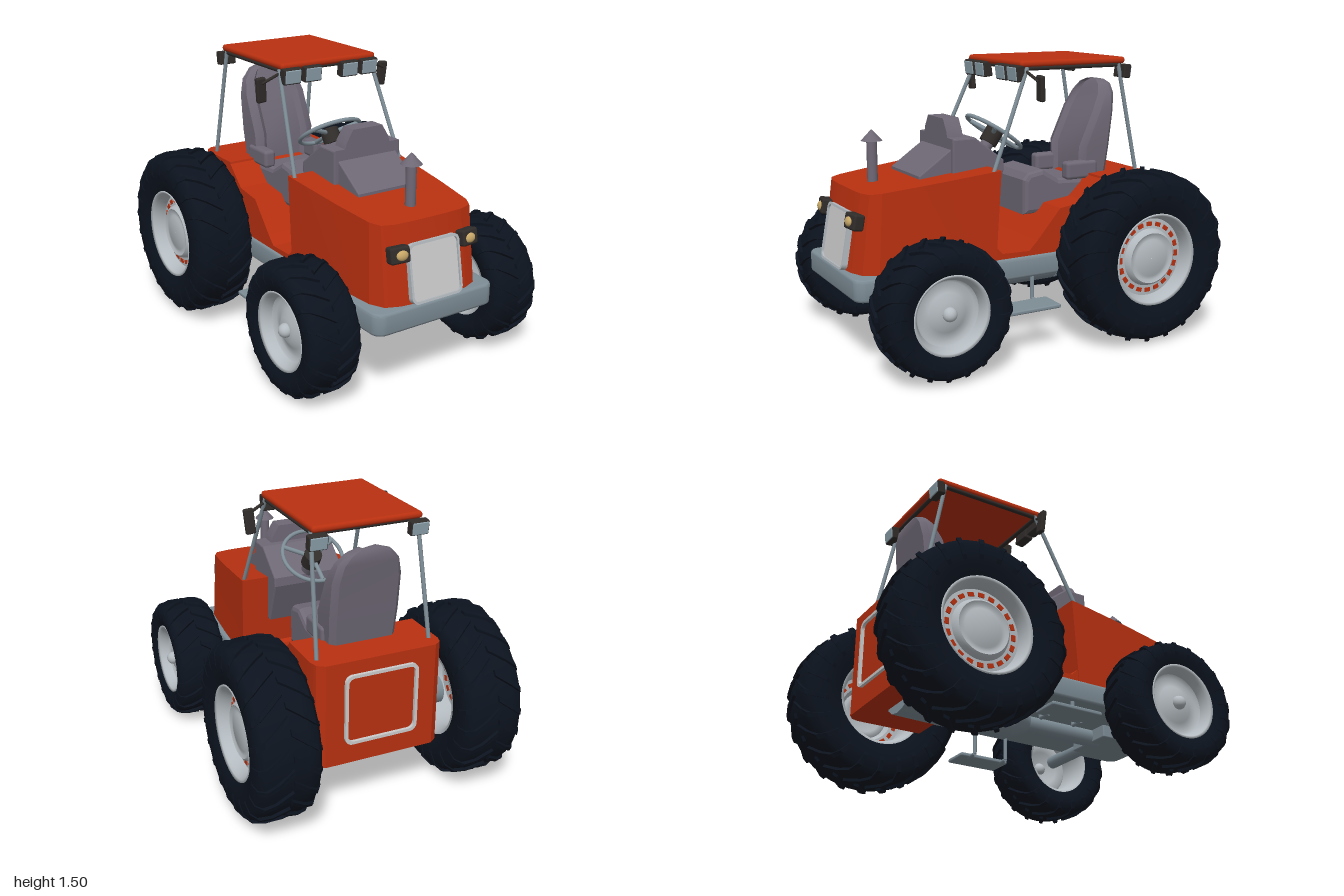
import * as THREE from 'three';
import { mergeGeometries, toCreasedNormals } from 'three/addons/utils/BufferGeometryUtils.js';
import { RoundedBoxGeometry } from 'three/addons/geometries/RoundedBoxGeometry.js';

const mat = (color, side = THREE.FrontSide) => new THREE.MeshStandardMaterial({ color, side });
const RED = mat(0xb83010), STEEL = mat(0x7d8c95), SEAT = mat(0x6e6875), DARK = mat(0x302c2a);
const TYRE = mat(0x0c131e, THREE.DoubleSide), RIM = mat(0xb4bbc0, THREE.DoubleSide);
const PALE = mat(0xbcbcbc), LENS = mat(0xc8a868), GLASS = mat(0x8fa3ad);

function add(parent, name, geo, material, x = 0, y = 0, z = 0) {
  const m = new THREE.Mesh(geo, material);
  m.name = name;
  m.position.set(x, y, z);
  parent.add(m);
  return m;
}
const box = (w, h, d, r = 0.008) => new RoundedBoxGeometry(w, h, d, 2, r);

// Closed skin over rings of [x, y, z] points, capped at both ends, wound outward
function loft(rings, crease = 0.5) {
  const n = rings[0].length, tris = [];
  for (let i = 0; i < rings.length - 1; i++)
    for (let j = 0; j < n; j++) {
      const k = (j + 1) % n, a = rings[i][j], b = rings[i][k], c = rings[i + 1][k], d = rings[i + 1][j];
      tris.push([a, b, c], [a, c, d]);
    }
  const first = rings[0], last = rings[rings.length - 1];
  for (let j = 1; j < n - 1; j++) tris.push([first[0], first[j + 1], first[j]], [last[0], last[j], last[j + 1]]);
  const o = first[0], V = p => new THREE.Vector3(p[0] - o[0], p[1] - o[1], p[2] - o[2]);
  const volume = tris.reduce((s, [a, b, c]) => s + V(a).dot(V(b).cross(V(c))), 0);
  const flat = tris.flatMap(([a, b, c]) => (volume > 0 ? [...a, ...b, ...c] : [...a, ...c, ...b]));
  const g = new THREE.BufferGeometry();
  g.setAttribute('position', new THREE.Float32BufferAttribute(flat, 3));
  g.computeVertexNormals();
  return crease ? toCreasedNormals(g, crease) : g;
}
const mirrorRing = half => [...half, ...half.map(([x, y, z]) => [-x, y, z]).reverse()];

// Side profile of [z, y] points extruded across x
function prism(profile, width, bevel = 0) {
  const shape = new THREE.Shape(profile.map(p => new THREE.Vector2(...p)));
  const g = new THREE.ExtrudeGeometry(shape, { depth: width - 2 * bevel, bevelEnabled: bevel > 0, bevelSize: bevel, bevelThickness: bevel, bevelOffset: -bevel, bevelSegments: 2 });
  return g.rotateY(-Math.PI / 2).translate(width / 2 - bevel, 0, 0);
}
function roundRect(w, h, r, Type = THREE.Shape) {
  const s = new Type(), x = w / 2, y = h / 2, q = Math.PI / 2;
  [[x - r, y - r], [r - x, y - r], [r - x, r - y], [x - r, r - y]].forEach((c, i) => s.absarc(...c, r, i * q, i * q + q));
  return s;
}
function frame(w, h, r, t, depth) {
  const s = roundRect(w, h, r);
  s.holes.push(roundRect(w - 2 * t, h - 2 * t, r - t / 2, THREE.Path));
  return new THREE.ExtrudeGeometry(s, { depth, bevelEnabled: false, curveSegments: 5 });
}
function rod(parent, name, a, b, r, material = STEEL, r2 = r) {
  const A = new THREE.Vector3(...a), B = new THREE.Vector3(...b), d = B.clone().sub(A);
  const m = add(parent, name, new THREE.CylinderGeometry(r2, r, d.length(), 16), material);
  m.position.copy(A).add(B).multiplyScalar(0.5);
  m.quaternion.setFromUnitVectors(new THREE.Vector3(0, 1, 0), d.normalize());
  return m;
}
const spin = (pts, seg = 48) => new THREE.LatheGeometry(pts.map(p => new THREE.Vector2(p[1], p[0])), seg).rotateZ(-Math.PI / 2);

// Wheel centred on its axle, outer face toward +x
function wheel(name, R, W, rim, lugs, rear) {
  const g = new THREE.Group();
  g.name = name;
  const r0 = R - 0.016, d = r0 - rim;
  const half = [[W * 0.8, rim - 0.01], [W * 0.93, rim + d * 0.2], [W * 0.98, rim + d * 0.5], [W * 0.94, rim + d * 0.78], [W * 0.8, rim + d * 0.93], [W * 0.5, r0]];
  add(g, 'tyre', spin([...half.map(([x, r]) => [-x, r]), ...half.slice().reverse()]), TYRE);
  // Swept tread bars that meet in a V
  const path = [[0, R, 0], [0.45, R, 0.13], [0.76, R - 0.012, 0.22], [0.96, rim + d * 0.8, 0.27], [1, rim + d * 0.5, 0.3]];
  const bars = [];
  for (let i = 0; i < lugs; i++)
    for (const s of [-1, 1]) {
      const a0 = ((i + (s > 0 ? 0.5 : 0)) / lugs) * Math.PI * 2;
      bars.push(loft(path.map(([f, r, lag]) => {
        const P = (rr, da, ff) => [s * ff * W, rr * Math.cos(a0 - lag + da), rr * Math.sin(a0 - lag + da)];
        const w = 0.34 / lugs * 2;
        return [P(r - 0.03, -w * 1.4, f * 0.95), P(r - 0.03, w * 1.4, f * 0.95), P(r, w, f), P(r, -w, f)];
      }), 0));
    }
  add(g, 'treadBars', mergeGeometries(bars), TYRE);
  const x = W * 0.82;
  add(g, 'rimBarrel', spin([[-x, rim + 0.004], [-x, rim - 0.015], [-x * 0.6, rim - 0.035], [x * 0.6, rim - 0.035], [x * 0.9, rim - 0.018], [x, rim - 0.012], [x + 0.008, rim], [x - 0.01, rim + 0.006]]), RIM);
  if (rear) {
    add(g, 'rimDisc', toCreasedNormals(spin([[0.07, 0.215], [0.075, 0.155], [0.1, 0.145], [0.108, 0.135], [0.1, 0.12], [0.1, 0.1], [0.106, 0.09], [0.106, 0.001]]), 0.6), RIM);
    for (let i = 0; i < 20; i++) {
      const a = (i / 20) * Math.PI * 2;
      add(g, 'rimSlot', new THREE.BoxGeometry(0.008, 0.022, 0.032), RED, 0.074, 0.18 * Math.cos(a), 0.18 * Math.sin(a)).rotation.x = a;
    }
  } else {
    add(g, 'rimDisc', spin([[0.075, rim - 0.03], [0.05, rim - 0.05], [0.06, 0.1], [0.085, 0.06], [0.085, 0.001]]), RIM);
    add(g, 'hubCap', new THREE.SphereGeometry(0.036, 20, 14), RIM, 0.092);
  }
  return g;
}

export function createModel() {
  const tractor = new THREE.Group();
  tractor.name = 'tractor';

  // Chassis and driveline
  const slab = new THREE.ExtrudeGeometry(roundRect(0.7, 1.31, 0.045), { depth: 0.085, bevelSize: 0.015, bevelThickness: 0.015, bevelSegments: 3, curveSegments: 5 });
  add(tractor, 'chassis', toCreasedNormals(slab.rotateX(Math.PI / 2), 0.6), STEEL, 0, 0.47, 0.33);
  add(tractor, 'frontAxleMount', box(0.29, 0.1, 0.2), STEEL, 0, 0.35, 0.64);
  rod(tractor, 'frontAxle', [-0.5, 0.35, 0.64], [0.5, 0.35, 0.64], 0.037);
  rod(tractor, 'rearAxle', [-0.46, 0.475, -0.54], [0.46, 0.475, -0.54], 0.078);
  rod(tractor, 'driveShaft', [0, 0.34, 0.6], [0, 0.34, -0.1], 0.05);
  rod(tractor, 'gearbox', [0, 0.35, 0], [0, 0.35, -0.3], 0.12);
  rod(tractor, 'gearboxNeck', [0, 0.34, 0.12], [0, 0.35, 0], 0.06, STEEL, 0.12);
  rod(tractor, 'differential', [0, 0.35, -0.3], [0, 0.4, -0.62], 0.12, STEEL, 0.16);

  // Hood tapering to a raked nose
  const topY = z => 0.955 - (z - 0.2) * 0.105;
  const low = [[0.355, 0.23], [0.335, 0.6], [0.312, 0.86], [0.275, 0.935], [0.2, 0.965], [0.1, 0.978]];
  const high = [[0.355, 0.2], [0.325, 0.6], [0.298, 0.83], [0.27, 0.885], [0.2, 0.905], [0.1, 0.91]];
  add(tractor, 'hood', loft([mirrorRing(low.map(([x, z]) => [x, 0.485, z])), mirrorRing(high.map(([x, z]) => [x, topY(z), z]))], 0.3), RED);

  // Footwell and rear body
  add(tractor, 'footwell', prism([[0.25, 0.48], [0.25, 0.58], [0.225, 0.55], [0.19, 0.515], [0.03, 0.51], [-0.02, 0.56], [-0.16, 0.72], [-0.32, 0.74], [-0.45, 0.86], [-0.45, 0.35], [-0.3, 0.48]], 0.7), RED);
  const rearRing = (y, z) => mirrorRing([[0.35, y, z], [0.35, y, -0.7], [0.338, y, -0.74], [0.3, y, -0.768]]);
  add(tractor, 'rearBody', loft([rearRing(0.3, -0.34), rearRing(0.86, -0.44)]), RED);
  add(tractor, 'rearPanelFrame', frame(0.4, 0.38, 0.04, 0.016, 0.02), PALE, 0, 0.6, -0.785);

  // Nose details
  const nose = new THREE.Group();
  nose.name = 'nose';
  nose.position.set(0, 0.63, 0.945);
  nose.rotation.x = -0.18;
  tractor.add(nose);
  add(nose, 'grille', new THREE.ExtrudeGeometry(roundRect(0.3, 0.29, 0.03), { depth: 0.02, bevelEnabled: false }), PALE);
  add(nose, 'grilleFrame', frame(0.31, 0.3, 0.035, 0.012, 0.03), RIM);
  for (const s of [-1, 1]) {
    add(nose, 'headlightHousing', box(0.105, 0.082, 0.06, 0.012), DARK, s * 0.21, 0.115, 0.02).rotation.y = s * 0.15;
    add(nose, 'headlightLens', new THREE.SphereGeometry(0.034, 20, 12).scale(1, 0.75, 0.5), LENS, s * 0.205, 0.113, 0.047);
  }

  // Exhaust stack
  rod(tractor, 'exhaustPipe', [0, 0.86, 0.76], [0, 1.11, 0.76], 0.027, SEAT);
  rod(tractor, 'exhaustCap', [0, 1.105, 0.76], [0, 1.16, 0.76], 0.055, SEAT, 0.004);

  // Dashboard
  add(tractor, 'dashboard', prism([[0.4, 0.9], [0.4, 1.11], [0.27, 1.11], [0.1, 0.98], [0.1, 0.93], [0.19, 0.7], [0.23, 0.7]], 0.41, 0.008), SEAT);
  add(tractor, 'dashCowl', prism([[0.58, 0.9], [0.58, 0.93], [0.45, 1.02], [0.39, 1.06], [0.39, 0.9]], 0.36, 0.006), SEAT);
  const block = (x, y) => mirrorRing([[x, y, 0.31], [x, y, 0.4]]);
  add(tractor, 'instrumentBlock', loft([block(0.14, 1.1), block(0.13, 1.14), block(0.09, 1.205)]), SEAT);

  // Steering wheel, built flat then tilted
  const steering = new THREE.Group();
  steering.name = 'steeringWheel';
  steering.position.set(0, 1.1, 0.05);
  steering.rotation.x = -0.605;
  tractor.add(steering);
  add(steering, 'steeringRing', new THREE.TorusGeometry(0.168, 0.011, 10, 40).rotateX(Math.PI / 2), STEEL);
  for (let i = 0; i < 3; i++) {
    const a = (i / 3) * Math.PI * 2 + Math.PI / 6;
    rod(steering, 'steeringSpoke', [0, -0.01, 0], [0.165 * Math.cos(a), 0, 0.165 * Math.sin(a)], 0.012);
  }
  rod(steering, 'steeringHub', [0, -0.07, 0], [0, 0.012, 0], 0.05, DARK);
  rod(steering, 'steeringColumn', [0, -0.2, 0], [0, -0.06, 0], 0.035, SEAT);

  // Seat
  add(tractor, 'seatCushion', prism([[-0.04, 0.66], [-0.04, 0.85], [-0.07, 0.885], [-0.16, 0.9], [-0.26, 0.84], [-0.48, 0.83], [-0.48, 0.66]], 0.36, 0.025), SEAT);
  const backRing = (y, w, zf, zb) => mirrorRing([[w * 0.6, y, zf - 0.025], [w * 0.75, y, zf], [w, y, zf - 0.02], [w, y, zb + 0.03], [w * 0.85, y, zb]]);
  add(tractor, 'seatBack', loft([backRing(0.8, 0.18, -0.41, -0.57), backRing(1, 0.19, -0.41, -0.595), backRing(1.2, 0.188, -0.5, -0.62), backRing(1.29, 0.165, -0.545, -0.635), backRing(1.34, 0.12, -0.565, -0.64), backRing(1.362, 0.06, -0.58, -0.63)], 0.6), SEAT);
  for (const s of [-1, 1]) add(tractor, 'seatArm', box(0.07, 0.1, 0.2, 0.02), SEAT, s * 0.165, 0.88, -0.4);

  // Roof and its frame
  add(tractor, 'roof', new RoundedBoxGeometry(0.59, 0.036, 0.655, 4, 0.017), RED, 0, 1.483, -0.275);
  for (const z of [0.02, -0.57]) rod(tractor, 'roofCrossBar', [-0.28, 1.46, z], [0.28, 1.46, z], 0.012, DARK);

  for (const s of [-1, 1]) {
    rod(tractor, 'roofSideBar', [s * 0.28, 1.46, 0.02], [s * 0.28, 1.46, -0.57], 0.012, DARK);
    rod(tractor, 'frontPillar', [s * 0.335, 0.94, 0.235], [s * 0.285, 1.465, 0.01], 0.011);
    rod(tractor, 'rearPillar', [s * 0.31, 0.83, -0.685], [s * 0.285, 1.465, -0.56], 0.011);
    // Work lamps
    for (const x of [0.115, 0.24]) {
      add(tractor, 'frontLampHousing', box(0.106, 0.084, 0.05), DARK, s * x, 1.435, 0.05).rotation.x = 0.12;
      add(tractor, 'frontLampGlass', box(0.092, 0.07, 0.01, 0.004), GLASS, s * x, 1.432, 0.075).rotation.x = 0.12;
    }
    add(tractor, 'rearLampHousing', box(0.1, 0.075, 0.045), DARK, s * 0.27, 1.425, -0.6).rotation.x = -0.12;
    add(tractor, 'rearLampGlass', box(0.088, 0.063, 0.01, 0.004), GLASS, s * 0.27, 1.422, -0.622).rotation.x = -0.12;
    // Mirrors
    rod(tractor, 'mirrorArm', [s * 0.28, 1.45, 0.02], [s * 0.385, 1.4, 0], 0.008, DARK);
    const mirror = add(tractor, 'mirror', box(0.055, 0.135, 0.028, 0.01), DARK, s * 0.383, 1.365, -0.012);
    mirror.rotation.set(0.08, 0, -s * 0.08);
    // Steps
    add(tractor, 'step', box(0.155, 0.022, 0.3), STEEL, s * 0.45, 0.245, 0.09);
    for (const z of [0, 0.2]) {
      rod(tractor, 'stepHanger', [s * 0.33, 0.39, z], [s * 0.33, 0.24, z], 0.011);
      rod(tractor, 'stepArm', [s * 0.33, 0.24, z], [s * 0.4, 0.24, z], 0.011);
    }
    // Wheels
    const front = wheel('frontWheel', 0.345, 0.147, 0.2, 20, false);
    front.position.set(s * 0.558, 0.35, 0.645);
    const rear = wheel('rearWheel', 0.462, 0.171, 0.245, 22, true);
    rear.position.set(s * 0.557, 0.47, -0.535);
    for (const w of [front, rear]) {
      w.scale.x = s;
      tractor.add(w);
    }
  }
  return tractor;
}
